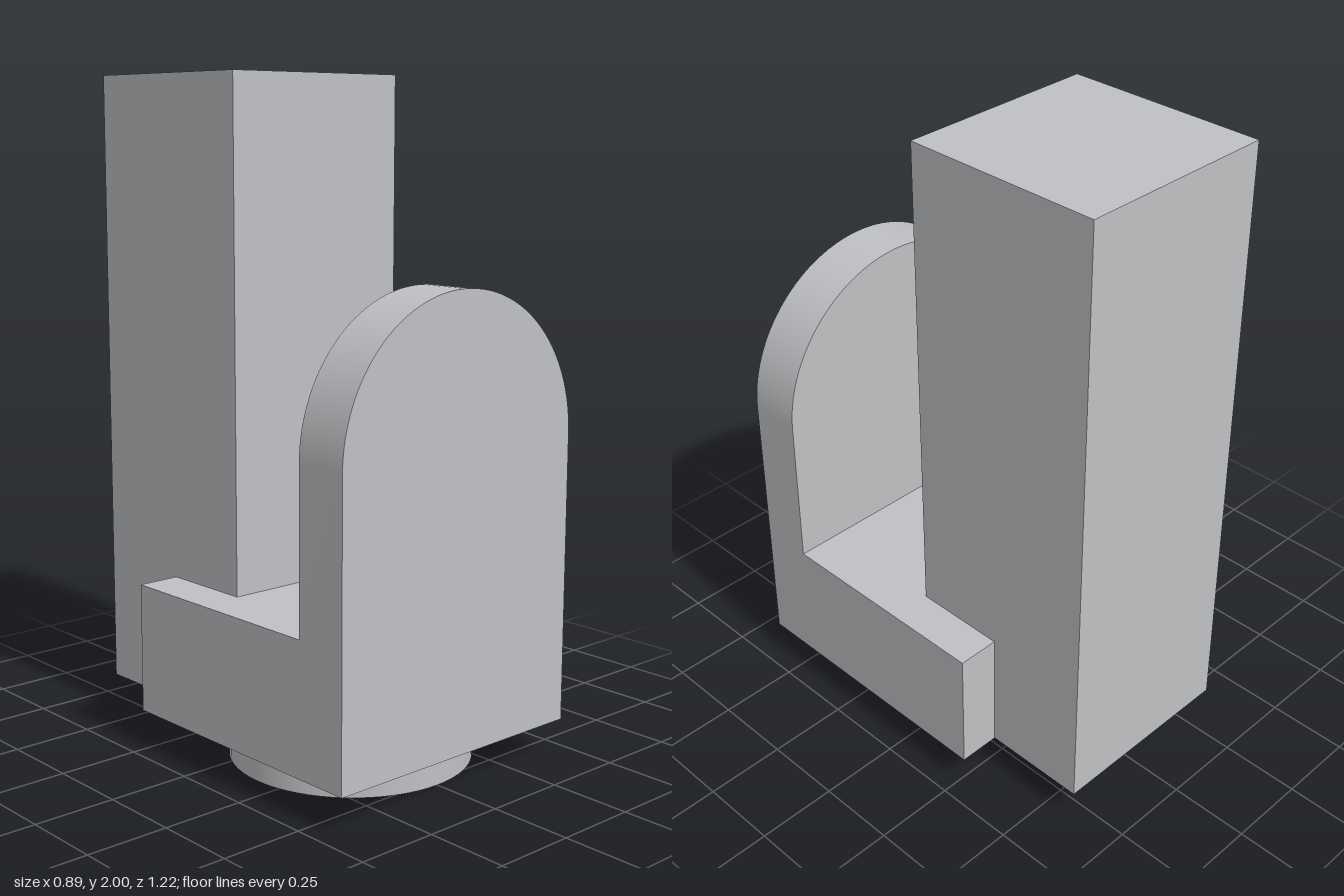
import * as THREE from 'three';
import { toCreasedNormals } from 'three/addons/utils/BufferGeometryUtils.js';

export function createModel() {
  const group = new THREE.Group();
  const grey = new THREE.MeshStandardMaterial({ color: 0xbfc1c4 });
  grey.name = 'light grey';

  const HALF_W = 0.443;           // half width of plate and base
  const FLOOR = 0.11;             // underside of the body, top of the foot
  const FRONT = 0.608, BACK = -0.608;
  const PLATE_BACK = 0.44;
  const COL_HALF = 0.312, COL_FRONT = 0.016;

  const add = (name, geometry, x, y, z) => {
    const mesh = new THREE.Mesh(geometry, grey);
    mesh.name = name;
    mesh.position.set(x, y, z);
    group.add(mesh);
  };

  // Upright front plate with a semicircular top
  const arch = new THREE.Shape();
  arch.moveTo(-HALF_W, FLOOR);
  arch.lineTo(HALF_W, FLOOR);
  arch.lineTo(HALF_W, 1.42 - HALF_W);
  arch.absarc(0, 1.42 - HALF_W, HALF_W, 0, Math.PI, false);
  arch.closePath();
  const plate = new THREE.ExtrudeGeometry(arch, {
    depth: FRONT - PLATE_BACK, bevelEnabled: false, curveSegments: 32,
  });
  add('archedFrontPlate', toCreasedNormals(plate, 0.5), 0, 0, PLATE_BACK);

  // Base block, notched at the back to receive the column (shape y is -z)
  const footprint = new THREE.Shape([
    [-HALF_W, -PLATE_BACK], [HALF_W, -PLATE_BACK], [HALF_W, 0.278],
    [COL_HALF, 0.278], [COL_HALF, -COL_FRONT], [-COL_HALF, -COL_FRONT],
    [-COL_HALF, 0.278], [-HALF_W, 0.278],
  ].map(([x, y]) => new THREE.Vector2(x, y)));
  const base = new THREE.ExtrudeGeometry(footprint, { depth: 0.502 - FLOOR, bevelEnabled: false });
  base.rotateX(-Math.PI / 2);
  add('notchedBase', base, 0, FLOOR, 0);

  // Tall square column
  add('rearColumn', new THREE.BoxGeometry(COL_HALF * 2, 2 - FLOOR, COL_FRONT - BACK),
    0, (2 + FLOOR) / 2, (COL_FRONT + BACK) / 2);

  // Round foot
  add('roundFoot', new THREE.CylinderGeometry(0.364, 0.364, FLOOR, 64), 0, FLOOR / 2, 0.165);

  return group;
}
